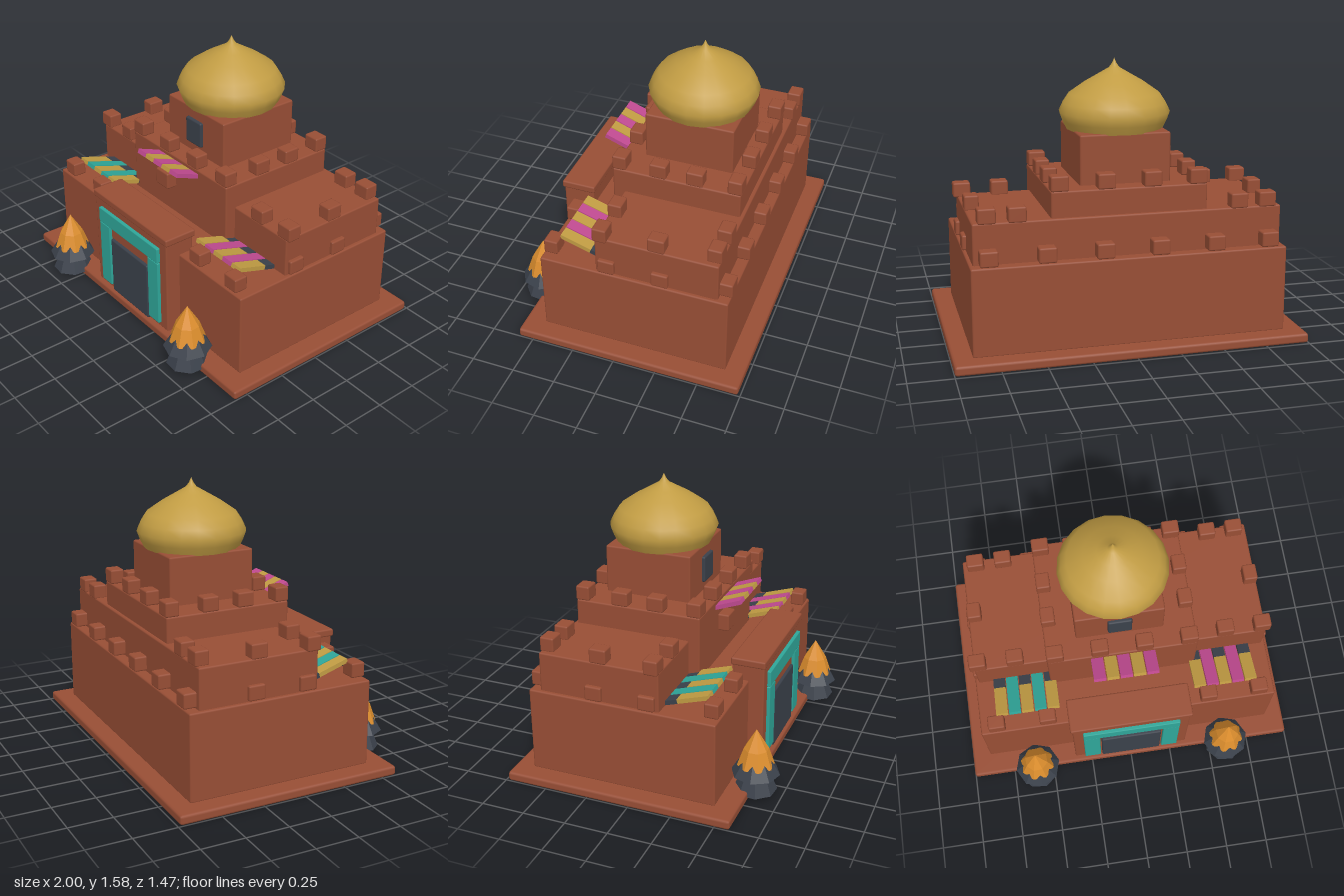
import * as THREE from 'three';
import { RoundedBoxGeometry } from 'three/addons/geometries/RoundedBoxGeometry.js';

const paint = (name, color) => Object.assign(new THREE.MeshStandardMaterial({ color }), { name });

export function createModel() {
  const model = new THREE.Group();
  model.name = 'domedPalace';
  const clay = paint('clay', 0x984e35);
  const gold = paint('gold', 0xc19c43);
  const teal = paint('teal', 0x2fa699);
  const charcoal = paint('charcoal', 0x3b414b);
  const pink = paint('pink', 0xc04a90);
  const orange = paint('orange', 0xdb8d2d);

  const add = (parent, name, geometry, material, x = 0, y = 0, z = 0) => {
    const mesh = new THREE.Mesh(geometry, material);
    mesh.name = name;
    mesh.position.set(x, y, z);
    parent.add(mesh);
    return mesh;
  };
  // Softly bevelled box given by its limits on each axis
  const block = (name, material, [x0, x1], [y0, y1], [z0, z1], bevel = 0.01) =>
    add(model, name, new RoundedBoxGeometry(x1 - x0, y1 - y0, z1 - z0, 1, bevel), material,
      (x0 + x1) / 2, (y0 + y1) / 2, (z0 + z1) / 2);

  // Stepped walls
  block('basePlinth', clay, [-1, 1], [0, 0.055], [-0.737, 0.587], 0.015);
  block('lowerStorey', clay, [-0.89, 0.89], [0.05, 0.547], [-0.63, 0.465]);
  block('middleStorey', clay, [-0.87, 0.87], [0.53, 0.775], [-0.567, 0.138]);
  block('upperStorey', clay, [-0.44, 0.44], [0.53, 0.92], [-0.547, 0.203]);
  block('tower', clay, [-0.257, 0.257], [0.9, 1.197], [-0.442, 0.075]);
  block('wallBlock', clay, [-0.137, -0.022], [0.72, 0.822], [0.17, 0.266]);

  // Gatehouse with door, frame and cornice
  block('gatehouse', clay, [-0.353, 0.353], [0.05, 0.645], [0.37, 0.555]);
  block('gateCornice', clay, [-0.365, 0.365], [0.635, 0.68], [0.36, 0.563]);
  block('gateLintel', teal, [-0.292, 0.292], [0.497, 0.593], [0.54, 0.576], 0.006);
  for (const s of [-1, 1])
    block('gatePost', teal, [s * 0.242 - 0.05, s * 0.242 + 0.05], [0.083, 0.495], [0.54, 0.574], 0.006);
  block('door', charcoal, [-0.183, 0.183], [0.055, 0.42], [0.53, 0.572]);
  block('towerWindow', charcoal, [-0.07, 0.07], [0.975, 1.13], [0.06, 0.094]);

  // Battlements
  const frontMerlon = new RoundedBoxGeometry(0.1, 0.085, 0.082, 1, 0.01);
  const sideMerlon = new RoundedBoxGeometry(0.082, 0.085, 0.098, 1, 0.01);
  const row = (name, geometry, y, spots) => {
    for (const [x, z] of spots)
      for (const s of [-1, 1]) add(model, name, geometry, clay, s * x, y, z);
  };
  row('lowerMerlon', frontMerlon, 0.595,
    [[0.79, 0.42], [0.485, 0.42], [0.79, -0.597], [0.475, -0.597], [0.155, -0.597]]);
  row('lowerSideMerlon', sideMerlon, 0.595, [[0.852, 0.07], [0.852, -0.24]]);
  row('middleMerlon', frontMerlon, 0.812,
    [[0.845, 0.1], [0.625, 0.1], [0.79, -0.532], [0.625, -0.532]]);
  row('middleSideMerlon', sideMerlon, 0.812, [[0.83, -0.215]]);
  row('upperMerlon', frontMerlon, 0.96,
    [[0.39, 0.165], [0.13, 0.165], [0.39, -0.51], [0.13, -0.51]]);
  row('upperSideMerlon', sideMerlon, 0.96, [[0.402, -0.065], [0.402, -0.28]]);

  // Onion dome
  const profile = [[0.275, 1.19], [0.297, 1.235], [0.315, 1.285], [0.292, 1.335], [0.258, 1.387],
    [0.165, 1.452], [0.09, 1.495], [0.03, 1.53], [0.012, 1.555], [0, 1.583]];
  add(model, 'dome', new THREE.LatheGeometry(profile.map(([r, y]) => new THREE.Vector2(r, y)), 20),
    gold, 0, 0, -0.185);
  add(model, 'domeUnderside', new THREE.CircleGeometry(0.275, 20).rotateX(Math.PI / 2), gold, 0, 1.19, -0.185);

  // Striped awnings, hinged at the wall and rising outwards
  const awning = (name, x, y, z, length, tilt, colours, darkBack) => {
    const group = new THREE.Group();
    group.name = name;
    group.position.set(x, y, z);
    group.rotation.x = -tilt;
    colours.forEach((colour, i) => {
      const px = (i - (colours.length - 1) / 2) * 0.0765;
      const back = colour === gold ? darkBack : 0;
      const slat = length - back;
      add(group, 'slat', new THREE.BoxGeometry(0.07, 0.025, slat), colour, px, 0, back + slat / 2);
      if (back) add(group, 'slatBack', new THREE.BoxGeometry(0.07, 0.025, back), charcoal, px, 0, back / 2);
    });
    model.add(group);
  };
  awning('leftAwning', 0.593, 0.558, 0.13, 0.267, 0.31, [gold, pink, gold, pink, gold], 0.08);
  awning('rightAwning', -0.593, 0.558, 0.13, 0.267, 0.31, [gold, teal, gold, teal, gold], 0.08);
  awning('centreAwning', 0, 0.878, 0.19, 0.172, 0.36, [pink, gold, pink, gold, pink], 0);

  // Braziers: two faceted skirts topped by a flame
  const faceted = (top, bottom, y0, y1, turn) => {
    const g = new THREE.CylinderGeometry(top, bottom, y1 - y0, 8).toNonIndexed();
    g.computeVertexNormals();
    return g.rotateY(turn).translate(0, (y0 + y1) / 2, 0);
  };
  for (const s of [-1, 1]) {
    const brazier = new THREE.Group();
    brazier.name = 'brazier';
    brazier.position.set(s * 0.597, 0, 0.597);
    add(brazier, 'brazierFoot', faceted(0.075, 0.122, 0.027, 0.14, 0.3), charcoal);
    add(brazier, 'brazierBowl', faceted(0.085, 0.137, 0.13, 0.215, 0.1), charcoal);
    add(brazier, 'flameBase', faceted(0.07, 0.105, 0.18, 0.28, 0.45), orange);
    add(brazier, 'flameTip', faceted(0, 0.07, 0.28, 0.397, 0.45), orange);
    model.add(brazier);
  }
  return model;
}
